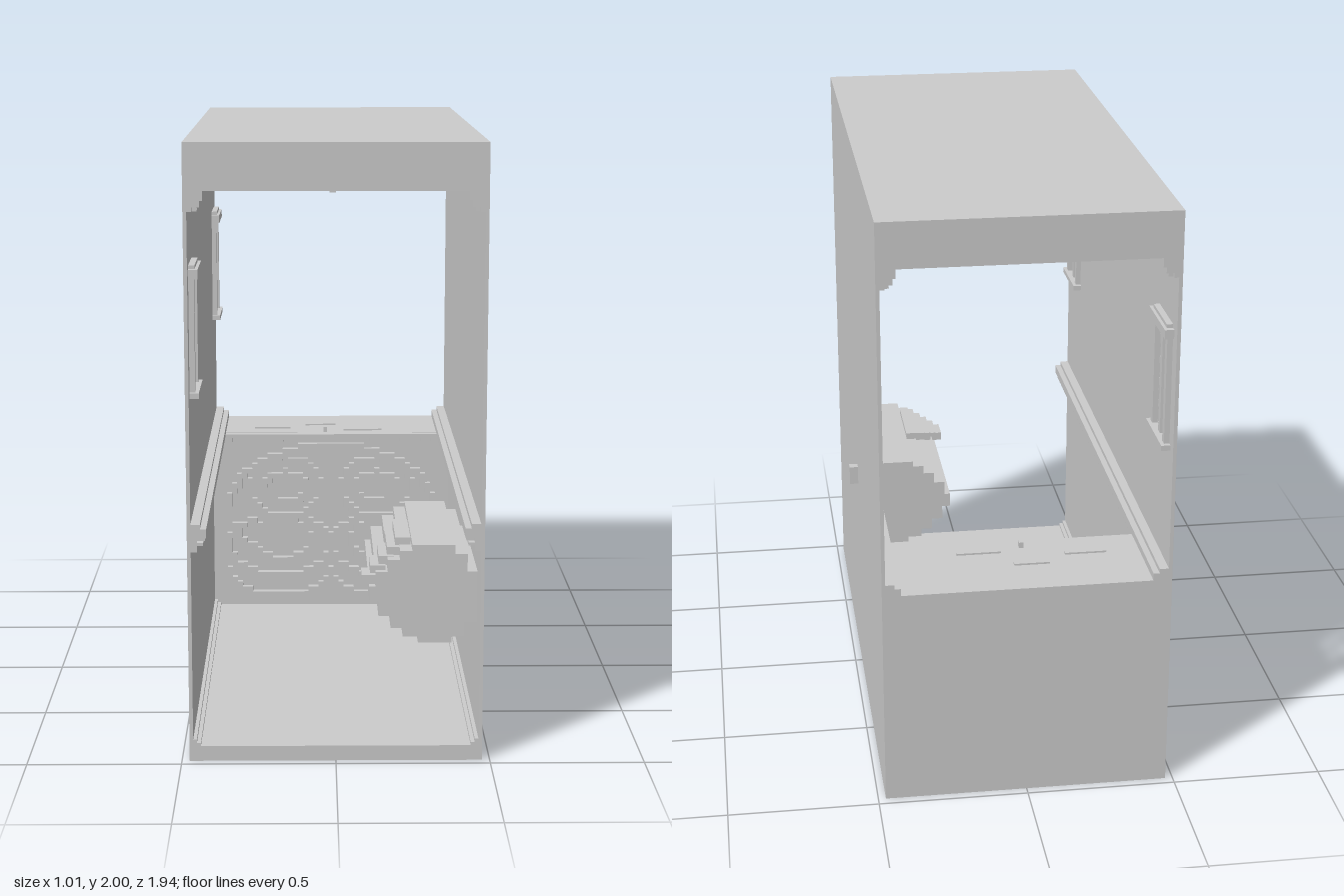
import * as THREE from 'three';
import { mergeGeometries } from 'three/addons/utils/BufferGeometryUtils.js';

const W = 0.475, D = 0.97, T = 0.012;   // half width, half depth, wall thickness
const mat = new THREE.MeshStandardMaterial({ color: 0xcccccc, flatShading: true });

// box geometry from its limits
function span(x0, x1, y0, y1, z0, z1) {
  return new THREE.BoxGeometry(x1 - x0, y1 - y0, z1 - z0)
    .translate((x0 + x1) / 2, (y0 + y1) / 2, (z0 + z1) / 2);
}

export function createModel() {
  const root = new THREE.Group();
  const add = (name, geos) => {
    const geo = Array.isArray(geos) ? mergeGeometries(geos) : geos;
    const mesh = new THREE.Mesh(geo, mat);
    mesh.name = name;
    root.add(mesh);
    return mesh;
  };

  // shell: floor, ceiling and plain wall
  add('floorSlab', span(-W, W, 0, 0.05, -D, D));
  add('ceilingSlab', span(-W, W, 1.865, 2, -D, D));
  add('endLintels', [-1, 1].map(s => span(-W, W, 1.85, 1.87, s * D - (s > 0 ? 0.02 : 0), s * D + (s < 0 ? 0.02 : 0))));
  add('leftWall', span(W - T, W, 0.05, 1.87, -D, D));

  // wall pierced by two windows of two by five panes
  const wall = new THREE.Shape();
  wall.moveTo(-D, 0.05).lineTo(D, 0.05).lineTo(D, 1.87).lineTo(-D, 1.87).closePath();
  const windowZ = [-0.81, 0.81];
  for (const zc of windowZ) for (const s of [-1, 1]) for (let r = 0; r < 5; r++) {
    const z = zc + s * 0.045, y = 1.24 + r * 0.076;
    const pane = new THREE.Path();
    pane.moveTo(z - 0.03, y - 0.026).lineTo(z - 0.03, y + 0.026)
      .lineTo(z + 0.03, y + 0.026).lineTo(z + 0.03, y - 0.026).closePath();
    wall.holes.push(pane);
  }
  // turn the outline so that its horizontal axis runs along z
  const wallGeo = new THREE.ExtrudeGeometry(wall, { depth: T, bevelEnabled: false });
  wallGeo.rotateY(-Math.PI / 2).translate(-W + T, 0, 0);
  add('rightWall', wallGeo);

  // window surrounds, sills and lintels on the inside
  const xi = -W + T;
  for (const zc of windowZ) {
    const parts = [
      span(xi, xi + 0.03, 1.57, 1.60, zc - 0.12, zc + 0.12),
      span(xi, xi + 0.02, 1.60, 1.612, zc - 0.10, zc + 0.10),
      span(xi, xi + 0.03, 1.19, 1.208, zc - 0.12, zc + 0.12),
      span(xi, xi + 0.012, 1.2, 1.58, zc - 0.013, zc + 0.013),
    ];
    for (const s of [-1, 1])
      parts.push(span(xi, xi + 0.018, 1.2, 1.58, zc + s * 0.09 - 0.014, zc + s * 0.09 + 0.014));
    add('windowFrame', parts);
  }

  // mouldings along both side walls
  for (const s of [-1, 1]) {
    const strip = (depth, y0, y1, z0 = -D, z1 = D) => {
      const a = s * (W - T), b = s * (W - T - depth);
      return span(Math.min(a, b), Math.max(a, b), y0, y1, z0, z1);
    };
    const rail = [strip(0.03, 0.775, 0.79), strip(0.05, 0.745, 0.775), strip(0.04, 0.72, 0.73), strip(0.02, 0.70, 0.745)];
    const cornice = [strip(0.05, 1.82, 1.865), strip(0.04, 1.80, 1.82), strip(0.015, 1.785, 1.80)];
    for (let z = -D + 0.015; z < D - 0.02; z += 0.04) {
      rail.push(strip(0.045, 0.73, 0.745, z, z + 0.02));
      cornice.push(strip(0.03, 1.785, 1.80, z, z + 0.02));
    }
    add('wallRail', rail);
    add('ceilingCornice', cornice);
    add('baseMoulding', [strip(0.025, 0.05, 0.06), strip(0.012, 0.06, 0.072)]);
    // peg on the outer face
    add('sidePeg', span(s > 0 ? W : -W - 0.03, s > 0 ? W + 0.03 : -W, 0.73, 0.795, -0.015, 0.015));
  }

  // coffered ceiling beams
  const beams = [];
  for (const x of [-0.14, 0.14]) beams.push(span(x - 0.015, x + 0.015, 1.85, 1.866, -D + 0.02, D - 0.02));
  for (let i = 0; i <= 6; i++) {
    const z = -0.93 + i * 0.31;
    beams.push(span(-W + T, W - T, 1.85, 1.866, z - 0.015, z + 0.015));
  }
  add('ceilingBeams', beams);

  // small hanging hook
  add('ceilingHook', [span(-0.03, 0.03, 1.835, 1.866, -0.02, 0.02),
    span(-0.005, 0.012, 1.78, 1.84, -0.01, 0.01), span(-0.012, 0.012, 1.755, 1.785, -0.012, 0.012)]);

  // raised platform at the back with a toothed edge
  const zp = -0.64;
  add('backPlatform', span(-W + T, W - T, 0.05, 0.75, -D, zp));
  const trim = [span(-0.42, 0.42, 0.735, 0.749, zp, zp + 0.03)];
  for (let x = -0.41; x < 0.4; x += 0.04) trim.push(span(x, x + 0.022, 0.715, 0.735, zp, zp + 0.022));
  add('platformTrim', trim);
  add('platformRubble', [span(-0.03, -0.015, 0.75, 0.77, zp - 0.03, zp - 0.01),
    span(-0.3, -0.16, 0.75, 0.756, -0.74, -0.72), span(0.05, 0.2, 0.75, 0.756, -0.7, -0.68),
    span(-0.1, 0.02, 0.75, 0.756, -0.8, -0.78)]);

  // mirrored scroll relief in small blocks: [centre x, centre y, radius x, radius y, start, end]
  const arcs = [
    [0.2, 0.3, 0.2, 0.12, 0, 2], [0.2, 0.32, 0.12, 0.08, 0.2, 1.8], [0.18, 0.53, 0.14, 0.12, 0, 2],
    [0.18, 0.53, 0.08, 0.06, 0, 1.6], [0.2, 0.2, 0.2, 0.11, 1, 2], [0, 0.45, 0.4, 0.25, -0.3, 0.5],
  ];
  const cell = 0.02, used = new Set(), blocks = [];
  for (const [cx, cy, rx, ry, a0, a1] of arcs) for (let i = 0; i <= 80; i++) {
    const a = (a0 + (a1 - a0) * i / 80) * Math.PI;
    const ix = Math.round((cx + rx * Math.cos(a)) / cell), iy = Math.round((cy + ry * Math.sin(a)) / cell);
    for (const s of [-1, 1]) {
      const key = s * ix + ',' + iy;
      if (used.has(key)) continue;
      used.add(key);
      const x = s * ix * cell, y = iy * cell;
      blocks.push(span(x - cell / 2, x + cell / 2, y - cell / 2, y + cell / 2, zp, zp + 0.025));
    }
  }
  add('scrollRelief', blocks);

  // stepped mass projecting from the left wall near the front
  const pts = [[0.465, 0.43], [0.42, 0.43], [0.42, 0.38], [0.38, 0.38], [0.38, 0.36], [0.27, 0.36], [0.27, 0.38],
    [0.22, 0.38], [0.22, 0.41], [0.18, 0.41], [0.18, 0.45], [0.14, 0.45], [0.14, 0.5], [0.11, 0.5], [0.11, 0.55],
    [0.13, 0.55], [0.13, 0.6], [0.17, 0.6], [0.17, 0.64], [0.21, 0.64], [0.21, 0.67], [0.25, 0.67], [0.25, 0.69],
    [0.39, 0.69], [0.39, 0.66], [0.43, 0.66], [0.43, 0.6], [0.465, 0.6]];
  const outline = new THREE.Shape(pts.map(p => new THREE.Vector2(...p)).reverse());
  add('steppedMass', new THREE.ExtrudeGeometry(outline, { depth: 0.6, bevelEnabled: false }).translate(0, 0, 0.25));
  const chips = [];
  for (let i = 0; i < 5; i++) {
    const x = 0.085 + i * 0.028, y = 0.56 + i * 0.026;
    chips.push(span(x, x + 0.05, y, y + 0.03, 0.76 - i * 0.06, 0.85 - i * 0.02));
  }
  add('brokenEdge', chips);
  return root;
}
